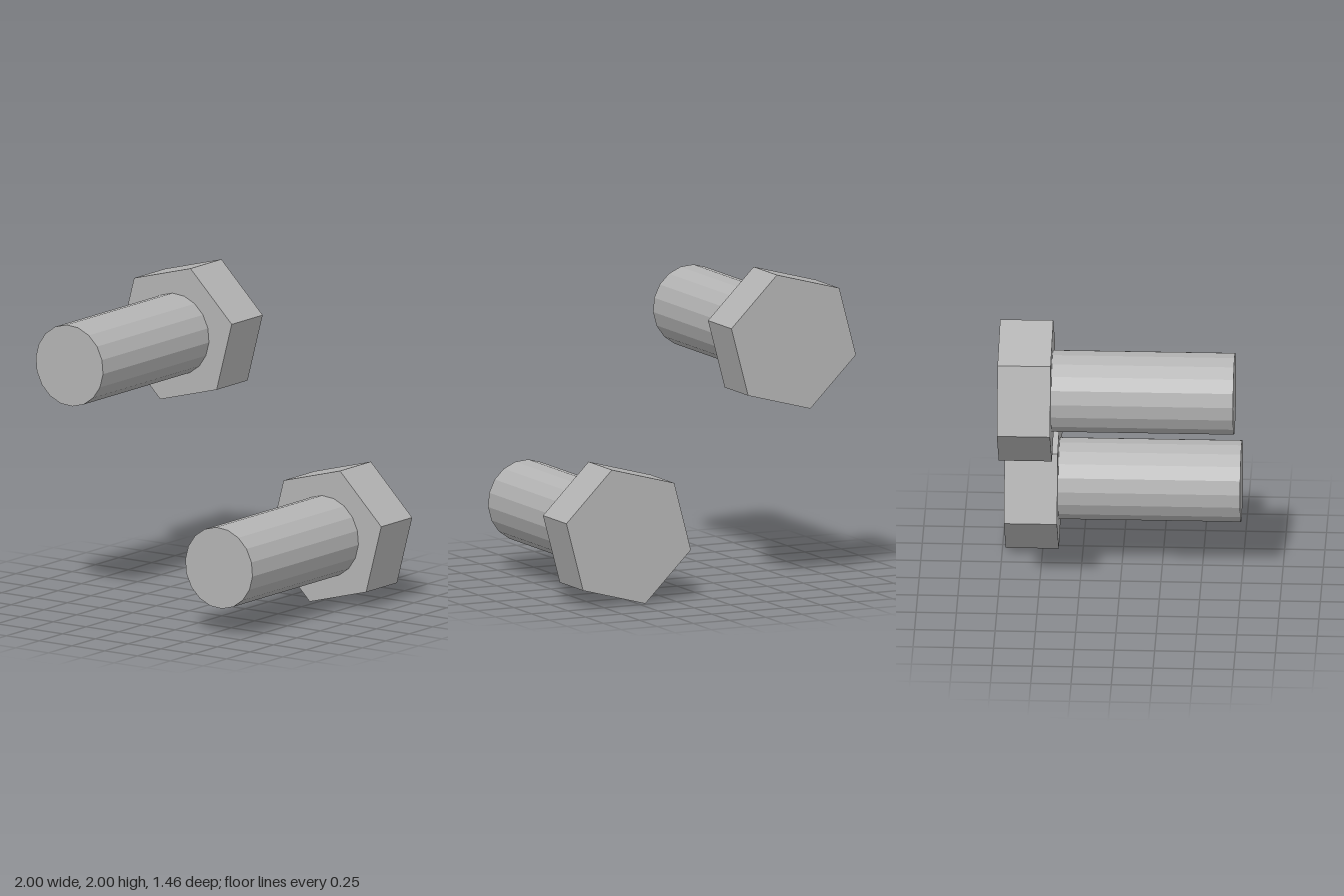
import * as THREE from 'three';

const steel = new THREE.MeshStandardMaterial({ color: 0xb4b4b4 });
steel.name = 'grey steel';

const BACK = -0.73, SEAT = -0.4, TIP = 0.73;

// Faceted prism along z from z0 to z1, with one corner at the given angle in the xy plane
function prism(name, radius, sides, z0, z1, cornerDegrees) {
  const start = THREE.MathUtils.degToRad(cornerDegrees + 90);
  const indexed = new THREE.CylinderGeometry(radius, radius, z1 - z0, sides, 1, false, start);
  indexed.rotateX(Math.PI / 2);
  indexed.translate(0, 0, (z0 + z1) / 2);
  // separate corners give every facet its own flat normal
  const geometry = indexed.toNonIndexed();
  geometry.computeVertexNormals();
  const mesh = new THREE.Mesh(geometry, steel);
  mesh.name = name;
  return mesh;
}

function bolt(name, x, y) {
  const group = new THREE.Group();
  group.name = name;
  group.add(prism('hexHead', 0.445, 6, BACK, SEAT, 15));
  group.add(prism('shank', 0.257, 18, SEAT, TIP, 15));
  group.position.set(x, y, 0);
  return group;
}

export function createModel() {
  const model = new THREE.Group();
  model.name = 'boltPair';
  model.add(bolt('upperBolt', -0.57, 1.57));
  model.add(bolt('lowerBolt', 0.57, 0.43));
  return model;
}
